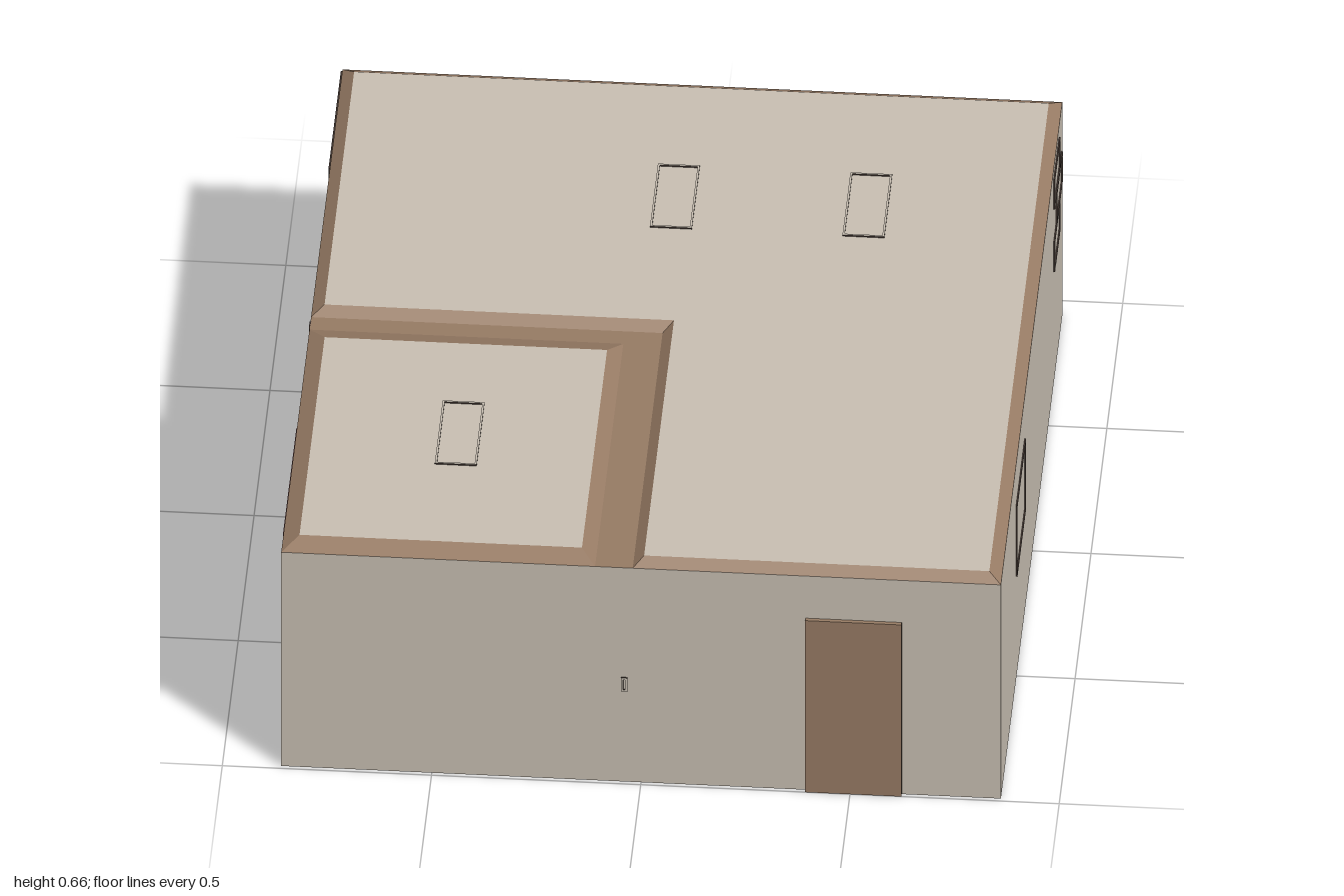
import * as THREE from 'three';

const mat = (name, color) => Object.assign(new THREE.MeshStandardMaterial({ color }), { name });

export function createModel() {
  const root = new THREE.Group();
  root.name = 'house';
  const cream = mat('cream plaster', 0xcac1b4);
  const brown = mat('brown wood', 0x987c65);
  const maroon = mat('maroon frame', 0x70484c);
  const blue = mat('blue glass', 0x3a6a94);
  const dark = mat('dark edge', 0x3a2f2a);

  const X = 0.86, BACK = -0.94, FRONT = 0.99, EAVE = 0.635, ROOF = 0.652;

  const add = (name, geo, material, parent = root) => {
    const m = new THREE.Mesh(geo, material);
    m.name = name;
    parent.add(m);
    return m;
  };
  const box = (name, w, h, d, x, y, z, material, parent) => {
    const m = add(name, new THREE.BoxGeometry(w, h, d), material, parent);
    m.position.set(x, y, z);
    return m;
  };

  // Rectangular frame in the xy plane, standing out along +z
  const frameGeo = (w, h, t, d) => {
    const rect = (C, a, b) => new C([[-a, -b], [a, -b], [a, b], [-a, b]].map(p => new THREE.Vector2(...p)));
    const s = rect(THREE.Shape, w / 2, h / 2);
    s.holes.push(rect(THREE.Path, w / 2 - t, h / 2 - t));
    return new THREE.ExtrudeGeometry(s, { depth: d, bevelEnabled: false });
  };
  // Thin raised outline: plaster face, dark sides
  const outline = (name, w, h, pos, rotY, rotX = 0, d = 0.004) => {
    const m = add(name, frameGeo(w, h, 0.005, d), [cream, dark]);
    m.position.set(...pos);
    m.rotation.set(rotX, rotY, 0);
    return m;
  };

  // Walls, with brown floor underneath and brown roof gutter on top
  box('walls', 2 * X, EAVE, FRONT - BACK, 0, EAVE / 2, (FRONT + BACK) / 2,
    [cream, cream, brown, brown, cream, cream]);

  // Roof panel with a sloping brown border; points are [x, z], counter-clockwise from above
  const roofPanel = (name, base, top) => {
    const g = new THREE.Group();
    g.name = name;
    root.add(g);
    const pos = [];
    base.forEach((b, i) => {
      const j = (i + 1) % base.length;
      const q = [[b, EAVE], [base[j], EAVE], [top[j], ROOF], [top[i], ROOF]]
        .map(([p, y]) => [p[0], y, p[1]]);
      for (const k of [0, 1, 2, 0, 2, 3]) pos.push(...q[k]);
    });
    const slope = new THREE.BufferGeometry();
    slope.setAttribute('position', new THREE.Float32BufferAttribute(pos, 3));
    slope.computeVertexNormals();
    add(name + 'Border', slope, brown, g);
    const flat = new THREE.ShapeGeometry(new THREE.Shape(top.map(p => new THREE.Vector2(p[0], -p[1]))));
    flat.rotateX(-Math.PI / 2);
    add(name + 'Top', flat, cream, g).position.y = ROOF;
  };
  roofPanel('mainRoof',
    [[-0.02, FRONT], [X, FRONT], [X, BACK], [-X, BACK], [-X, 0.05], [-0.02, 0.05]],
    [[0.005, 0.96], [0.83, 0.96], [0.83, -0.91], [-0.83, -0.91], [-0.83, 0.02], [0.005, 0.02]]);
  roofPanel('smallRoof',
    [[-X, FRONT], [-0.11, FRONT], [-0.11, 0.1], [-X, 0.1]],
    [[-0.82, 0.94], [-0.145, 0.94], [-0.145, 0.15], [-0.82, 0.15]]);

  // Roof light outlines
  for (const [x, z] of [[-0.47, 0.51], [-0.03, -0.47], [0.43, -0.47]])
    outline('roofLight', 0.1, 0.25, [x, ROOF, z], 0, -Math.PI / 2);

  // Front door and small wall switch
  box('door', 0.23, 0.51, 0.01, 0.508, 0.255, FRONT + 0.005, [dark, dark, brown, brown, brown, brown]);
  outline('wallSwitch', 0.015, 0.04, [-0.04, 0.29, FRONT], 0);

  // Outlines on the +x wall: one panel and three staggered shelves
  outline('wallPanel', 0.27, 0.21, [X, 0.415, 0.385], Math.PI / 2);
  for (const [z, y] of [[-0.75, 0.565], [-0.82, 0.47], [-0.75, 0.38]])
    outline('shelfOutline', 0.17, 0.09, [X, y, z], Math.PI / 2);

  // Outlines on the -x wall and around the back corner
  outline('lowPanel', 0.81, 0.27, [-X, 0.135, -0.535], -Math.PI / 2);
  outline('cornerCabinetSide', 0.39, 0.19, [-X, 0.535, -0.745], -Math.PI / 2);
  outline('cornerCabinetBack', 0.14, 0.19, [-0.79, 0.535, BACK], Math.PI);
  box('wallSeam', 0.004, EAVE, 0.025, -X, EAVE / 2, 0.08, [cream, dark, dark, dark, dark, dark]);

  // Maroon picture frame on the -x wall
  const picture = add('pictureFrame', frameGeo(0.42, 0.27, 0.018, 0.01), maroon);
  picture.position.set(-X, 0.415, 0.59);
  picture.rotation.y = -Math.PI / 2;

  // Projecting back window, built facing +z and turned round
  const win = new THREE.Group();
  win.name = 'backWindow';
  win.position.set(0.118, 0.39, BACK);
  win.rotation.y = Math.PI;
  root.add(win);
  add('windowSurround', frameGeo(0.585, 0.365, 0.014, 0.038), cream, win);
  add('windowFrame', frameGeo(0.59, 0.38, 0.018, 0.022), maroon, win).position.z = 0.038;
  box('windowSash', 0.56, 0.34, 0.012, 0, 0, 0.006, brown, win);
  for (const x of [-0.195, 0, 0.195])
    box('windowPane', 0.15, 0.33, 0.006, x, 0, 0.014, blue, win);
  for (const x of [-0.098, 0.098])
    box('windowHandle', 0.012, 0.04, 0.012, x, -0.01, 0.018, dark, win);

  return root;
}
